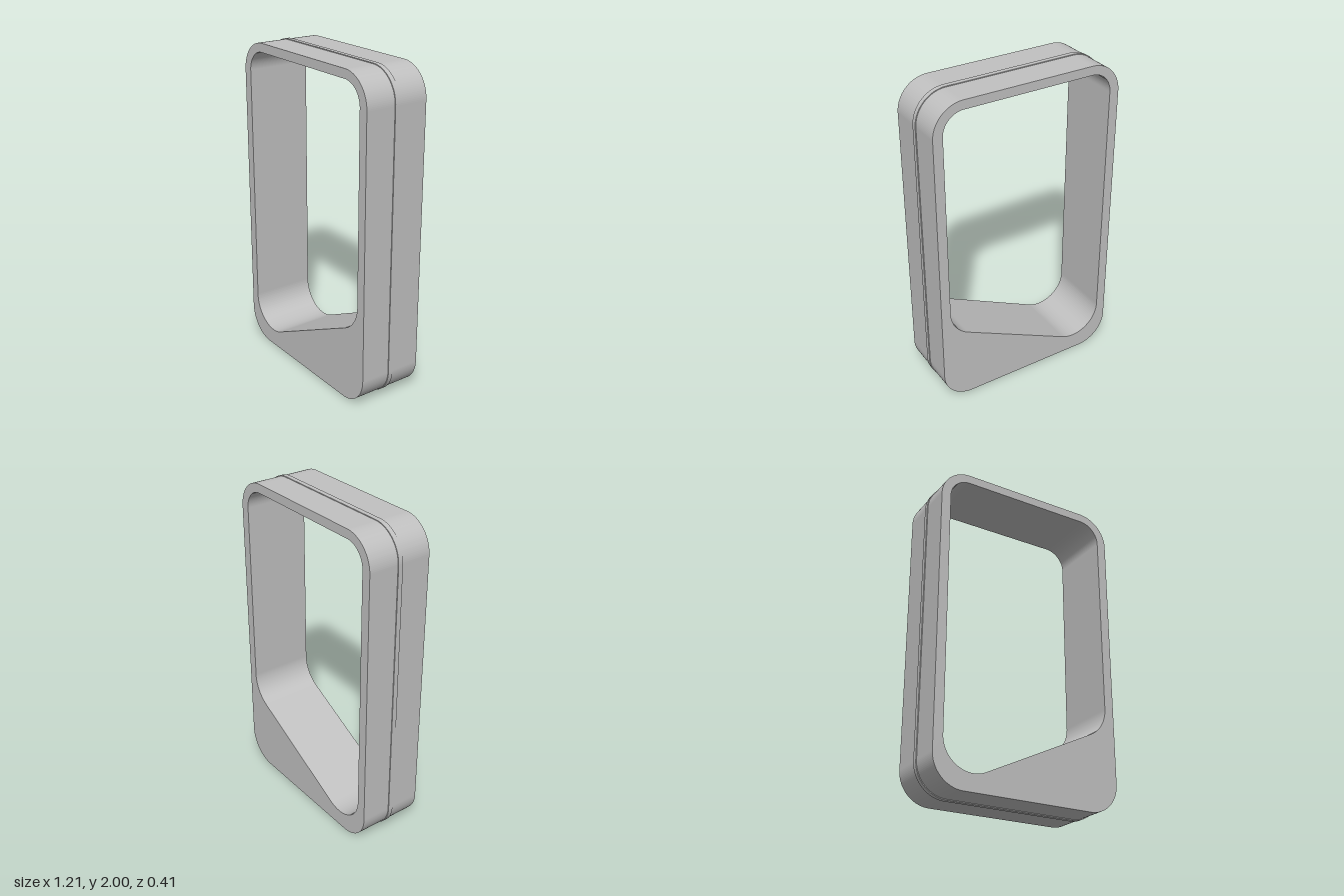
import * as THREE from 'three';

const DEPTH = 0.405;      // frame depth along z
const RIDGE_WIDTH = 0.03; // raised band around the middle

// Traces a rounded rectangle, counter-clockwise
function roundedRect(path, x, y0, y1, r) {
  const h = Math.PI / 2;
  path.absarc(x - r, y0 + r, r, -h, 0, false);
  path.absarc(x - r, y1 - r, r, 0, h, false);
  path.absarc(-x + r, y1 - r, r, h, 2 * h, false);
  path.absarc(-x + r, y0 + r, r, 2 * h, 3 * h, false);
  path.closePath();
  return path;
}

// Opening with a sloped floor that rises towards +x
function sloped() {
  const h = Math.PI / 2;
  const tilt = Math.atan(0.4875);
  const p = new THREE.Path();
  p.absarc(0.41, 1.81, 0.13, 0, h, false);
  p.absarc(-0.41, 1.81, 0.13, h, 2 * h, false);
  p.absarc(-0.355, 0.295, 0.185, 2 * h, 3 * h + tilt, false);
  p.absarc(0.34, 0.653, 0.2, -h + tilt, 0, false);
  p.closePath();
  return p;
}

function plate(name, shape, depth, material) {
  const geometry = new THREE.ExtrudeGeometry(shape, { depth, bevelEnabled: false, curveSegments: 16 });
  geometry.translate(0, 0, -depth / 2);
  const mesh = new THREE.Mesh(geometry, material);
  mesh.name = name;
  return mesh;
}

export function createModel() {
  const group = new THREE.Group();
  group.name = 'slopedFrame';
  const grey = new THREE.MeshStandardMaterial({ color: 0xc0c0c0 });
  grey.name = 'lightGrey';

  // Main frame
  const frame = roundedRect(new THREE.Shape(), 0.6, 0.005, 1.995, 0.19);
  frame.holes.push(sloped());
  group.add(plate('frame', frame, DEPTH, grey));

  // Thin raised band running around the outside; its inner edge is buried in the frame
  const ridge = roundedRect(new THREE.Shape(), 0.605, 0, 2, 0.195);
  ridge.holes.push(roundedRect(new THREE.Path(), 0.58, 0.025, 1.975, 0.17));
  group.add(plate('ridge', ridge, RIDGE_WIDTH, grey));

  return group;
}
